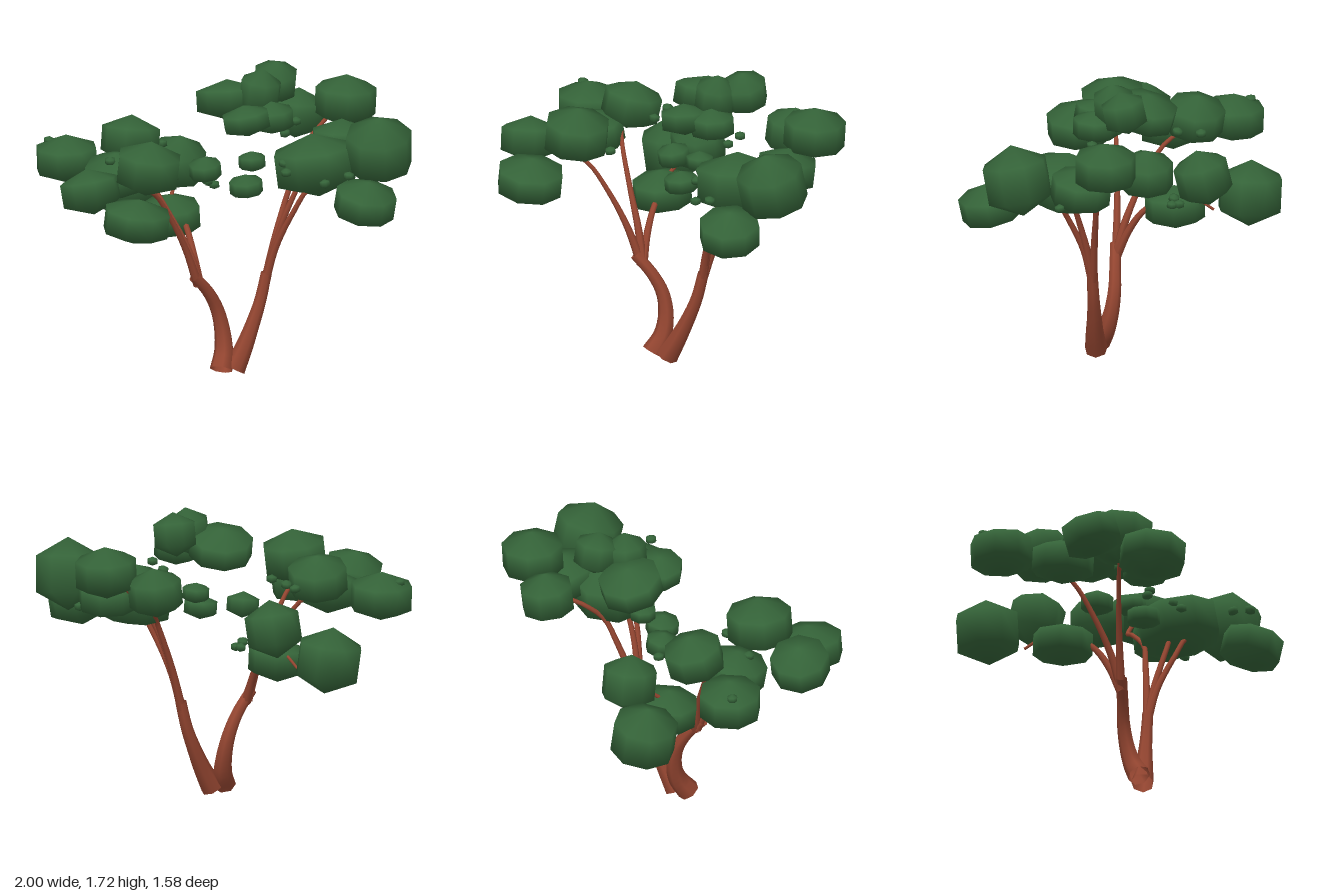
import * as THREE from 'three';

const bark = new THREE.MeshStandardMaterial({ color: 0x954631, side: THREE.DoubleSide });
bark.name = 'bark';
const leaf = new THREE.MeshStandardMaterial({ color: 0x356439 });
leaf.name = 'leaf green';

// Tube through the points, flared to r0 at its foot and narrowing to r1
function limb(name, r0, r1, points) {
  const curve = new THREE.CatmullRomCurve3(points.map(p => new THREE.Vector3(...p)));
  const steps = points.length * 3, sides = 7;
  const geo = new THREE.TubeGeometry(curve, steps, 1, sides);
  const pos = geo.attributes.position, v = new THREE.Vector3();
  for (let i = 0; i < pos.count; i++) {
    const t = Math.floor(i / (sides + 1)) / steps;
    const c = curve.getPointAt(t);
    v.fromBufferAttribute(pos, i).sub(c).multiplyScalar(r1 + (r0 - r1) * (1 - t) ** 2).add(c);
    pos.setXYZ(i, v.x, v.y, v.z);
  }
  const mesh = new THREE.Mesh(geo, bark);
  mesh.name = name;
  return mesh;
}

// Leaf clumps: x, y, z, horizontal radius, half height
const clumps = [
  // left side of the crown
  [-0.33, 0.92, -0.60, 0.182, 0.19], [-0.755, 1.19, -0.37, 0.175, 0.14],
  [-0.42, 1.30, -0.25, 0.165, 0.14], [-0.08, 1.08, -0.40, 0.152, 0.165],
  [-0.57, 1.17, -0.07, 0.175, 0.13], [-0.83, 1.18, 0.19, 0.165, 0.13],
  [-0.505, 1.295, 0.25, 0.183, 0.16], [-0.67, 1.08, 0.495, 0.188, 0.13],
  [-0.20, 0.84, -0.20, 0.168, 0.125], [-0.05, 1.14, -0.05, 0.09, 0.075],
  // top
  [0.115, 1.51, -0.12, 0.178, 0.115], [0.25, 1.58, 0.02, 0.115, 0.14],
  [0.38, 1.60, -0.08, 0.125, 0.125], [0.12, 1.47, 0.15, 0.135, 0.09],
  [0.28, 1.46, 0.12, 0.125, 0.095],
  // right side of the crown
  [0.585, 1.33, -0.27, 0.15, 0.145], [0.81, 1.43, -0.10, 0.172, 0.15],
  [0.81, 1.30, 0.415, 0.187, 0.205], [0.50, 1.19, 0.235, 0.235, 0.18],
  [0.72, 1.25, 0.07, 0.17, 0.13], [0.65, 1.07, 0.62, 0.172, 0.13],
  // middle
  [0.18, 1.20, 0.08, 0.075, 0.06], [0.11, 1.09, 0.17, 0.093, 0.07],
];

// Loose leaf buds
const buds = [
  [0.08, 0.97, -0.31], [0.09, 0.965, -0.27], [0.05, 0.99, -0.27], [0.295, 1.24, 0.28],
  [0.29, 1.20, 0.33], [0.42, 1.20, 0.59], [0.54, 1.25, 0.65], [-0.83, 1.28, -0.45],
  [-0.63, 1.27, -0.02], [-0.33, 1.20, 0.18], [-0.25, 1.27, -0.20], [-0.24, 1.28, -0.34],
  [0.86, 1.18, 0.15], [0.37, 1.35, 0.10], [0.44, 1.41, 0.09],
];

export function createModel() {
  const tree = new THREE.Group();
  tree.name = 'tree';

  const wood = new THREE.Group();
  wood.name = 'trunksAndBranches';
  wood.add(
    // left trunk and its branches
    limb('leftTrunk', 0.065, 0.032, [[-0.05, 0.04, 0.2], [-0.015, 0.13, 0.15], [-0.012, 0.25, 0.115],
      [-0.04, 0.37, 0.105], [-0.1, 0.48, 0.12], [-0.19, 0.585, 0.145]]),
    limb('leftFrontBranch', 0.028, 0.012, [[-0.16, 0.53, 0.13], [-0.24, 0.75, 0.15], [-0.34, 0.95, 0.18],
      [-0.45, 1.12, 0.22], [-0.54, 1.18, 0.26]]),
    limb('leftMiddleBranch', 0.028, 0.012, [[-0.15, 0.53, 0.13], [-0.2, 0.72, 0.09], [-0.29, 0.93, 0.02],
      [-0.39, 1.13, -0.08], [-0.46, 1.22, -0.2]]),
    limb('leftBackBranch', 0.028, 0.015, [[-0.15, 0.52, 0.13], [-0.16, 0.68, 0.06], [-0.165, 0.81, -0.03],
      [-0.17, 0.88, -0.14], [-0.18, 0.93, -0.25]]),
    limb('leftBackTwig', 0.013, 0.008, [[-0.18, 0.93, -0.23], [-0.19, 0.9, -0.34], [-0.22, 0.84, -0.42]]),
    limb('leftInnerTwig', 0.013, 0.008, [[-0.18, 0.93, -0.24], [-0.14, 0.99, -0.3], [-0.09, 1.05, -0.37]]),
    // right trunk and its branches
    limb('rightTrunk', 0.065, 0.032, [[0.03, 0.03, 0.19], [0.09, 0.14, 0.18], [0.15, 0.27, 0.165],
      [0.2, 0.4, 0.155], [0.24, 0.56, 0.15]]),
    limb('rightFrontBranch', 0.026, 0.013, [[0.23, 0.5, 0.15], [0.28, 0.72, 0.19], [0.36, 0.95, 0.27],
      [0.43, 1.08, 0.31], [0.58, 1.15, 0.36]]),
    limb('rightMiddleBranch', 0.028, 0.014, [[0.23, 0.5, 0.15], [0.28, 0.72, 0.17], [0.33, 0.9, 0.2],
      [0.39, 1.05, 0.22], [0.46, 1.2, 0.22]]),
    limb('rightBackBranch', 0.026, 0.012, [[0.23, 0.5, 0.15], [0.3, 0.74, 0.12], [0.37, 0.93, 0.09],
      [0.43, 1.07, 0.06], [0.5, 1.18, -0.03], [0.61, 1.25, -0.1], [0.74, 1.38, -0.1]]),
  );
  tree.add(wood);

  // Eight-sided clumps, each turned and tipped a little differently
  const foliage = new THREE.Group();
  foliage.name = 'foliage';
  const ball = new THREE.SphereGeometry(1, 8, 3);
  const addLeaf = (name, x, y, z, r, h, i) => {
    const mesh = new THREE.Mesh(ball, leaf);
    mesh.name = name;
    mesh.position.set(x, y, z);
    mesh.scale.set(r * 1.15, h, r * 1.15);
    mesh.rotation.set(Math.sin(i * 2.3) * 0.15, i * 1.7, Math.cos(i * 3.1) * 0.15);
    foliage.add(mesh);
  };
  clumps.forEach((c, i) => addLeaf('leafClump', ...c, i));
  buds.forEach((b, i) => addLeaf('leafBud', ...b, 0.029, 0.026, i));
  tree.add(foliage);

  return tree;
}
